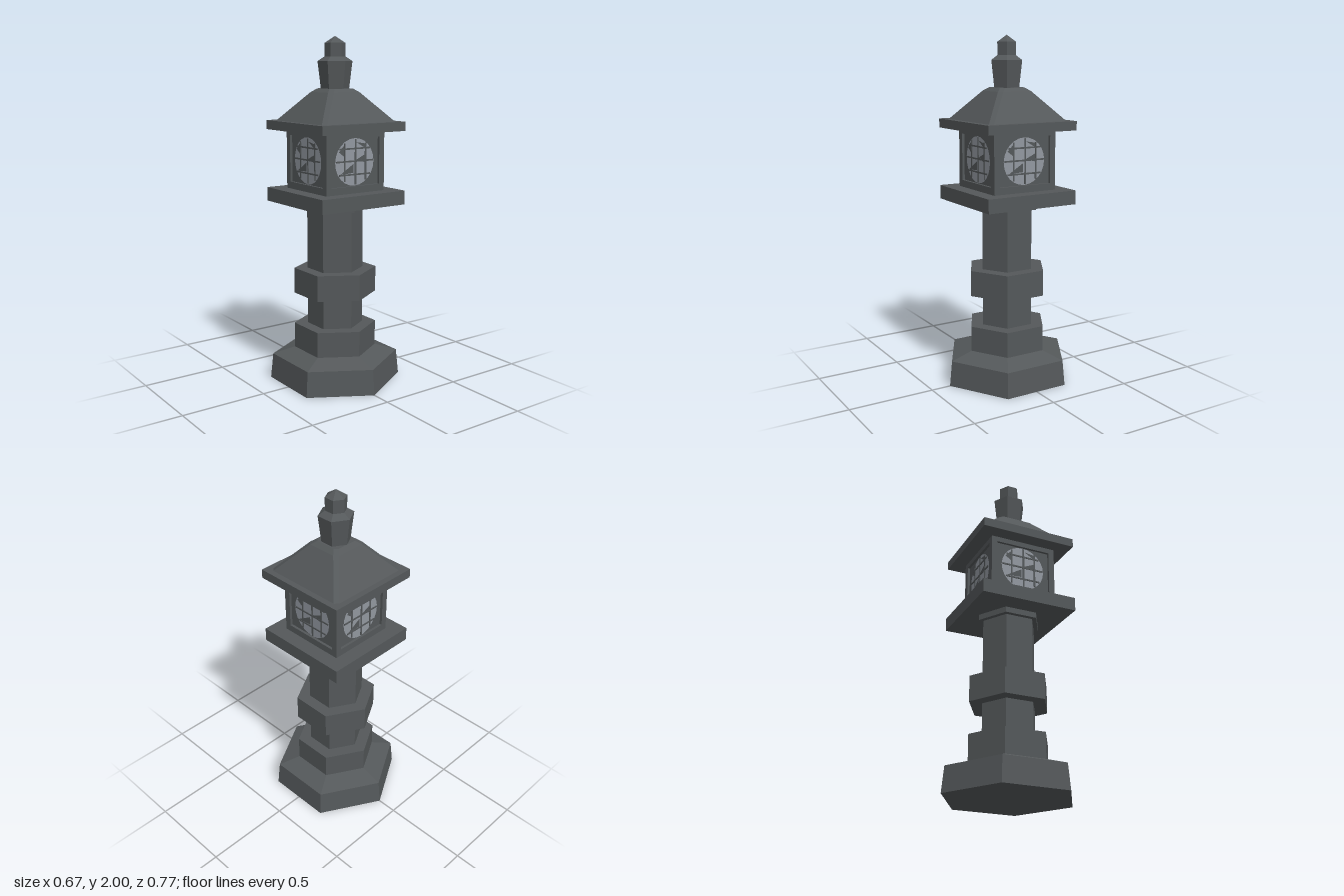
import * as THREE from 'three';

const stone = new THREE.MeshStandardMaterial({ color: 0x54585a, flatShading: true });
stone.name = 'dark stone';
const pane = new THREE.MeshStandardMaterial({ color: 0x9298a0 });
pane.name = 'pale window pane';

function add(parent, name, geometry, material, x = 0, y = 0, z = 0) {
  const mesh = new THREE.Mesh(geometry, material);
  mesh.name = name;
  mesh.position.set(x, y, z);
  parent.add(mesh);
  return mesh;
}

// Six-sided tapered block with corners facing front and back
function hexBlock(parent, name, y0, y1, r0, r1) {
  add(parent, name, new THREE.CylinderGeometry(r1, r0, y1 - y0, 6), stone, 0, (y0 + y1) / 2, 0);
}

function slab(parent, name, y0, y1, width) {
  add(parent, name, new THREE.BoxGeometry(width, y1 - y0, width), stone, 0, (y0 + y1) / 2, 0);
}

// Square loft with cut corners; each section is [y, half width, corner cut]
function cutSquareLoft(sections) {
  const pos = [], index = [];
  for (const [y, h, c] of sections) {
    const k = h - c;
    for (const [x, z] of [[-k, h], [k, h], [h, k], [h, -k], [k, -h], [-k, -h], [-h, -k], [-h, k]]) pos.push(x, y, z);
  }
  for (let i = 0; i < sections.length - 1; i++) {
    for (let j = 0; j < 8; j++) {
      const a = i * 8 + j, b = i * 8 + (j + 1) % 8;
      index.push(a, b, b + 8, a, b + 8, a + 8);
    }
  }
  const top = (sections.length - 1) * 8;
  for (let j = 1; j < 7; j++) index.push(top, top + j, top + j + 1);
  const g = new THREE.BufferGeometry();
  g.setAttribute('position', new THREE.Float32BufferAttribute(pos, 3));
  g.setIndex(index);
  g.computeVertexNormals();
  return g;
}

function polygon(points) {
  return new THREE.Shape(points.map(([x, y]) => new THREE.Vector2(x, y)));
}

// One wall of the lamp house: raised frame, round pane and broken lattice
function makeWindow() {
  const g = new THREE.Group();
  const frame = polygon([[-0.2, -0.175], [0.2, -0.175], [0.2, 0.165], [-0.2, 0.165]]);
  frame.holes.push(polygon([[-0.165, -0.135], [-0.165, 0.135], [0.165, 0.135], [0.165, -0.135]]));
  add(g, 'windowFrame', new THREE.ExtrudeGeometry(frame, { depth: 0.015, bevelEnabled: false }), stone, 0, 0, 0.185);
  add(g, 'windowPane', new THREE.CircleGeometry(0.133, 24), pane, 0, 0, 0.188);

  const r = 0.128;
  for (const p of [-0.07, 0.005, 0.075]) {
    const length = 2 * Math.sqrt(r * r - p * p);
    add(g, 'latticeUpright', new THREE.BoxGeometry(0.009, length, 0.004), stone, p, 0, 0.19);
    add(g, 'latticeCrossbar', new THREE.BoxGeometry(length, 0.009, 0.004), stone, 0, p, 0.19);
  }
  // Solid pieces of the lattice
  const shards = [
    [[-0.1, -0.065], [-0.01, -0.01], [-0.01, -0.06]],
    [[0.005, 0.01], [0.07, 0.04], [0.07, -0.005]],
    [[-0.11, 0.06], [-0.07, 0.1], [-0.07, 0.03]],
    [[0.01, 0.11], [0.07, 0.1], [0.07, 0.075]]
  ];
  for (const s of shards) add(g, 'latticeShard', new THREE.ShapeGeometry(polygon(s.reverse()).clone()), stone, 0, 0, 0.191);
  return g;
}

export function createModel() {
  const model = new THREE.Group();
  model.name = 'stoneLantern';

  // Pedestal and column
  hexBlock(model, 'base', 0, 0.147, 0.385, 0.37);
  hexBlock(model, 'baseSlope', 0.147, 0.187, 0.37, 0.24);
  hexBlock(model, 'plinth', 0.187, 0.335, 0.24, 0.24);
  hexBlock(model, 'column', 0.335, 1.03, 0.162, 0.162);
  hexBlock(model, 'columnRing', 0.52, 0.67, 0.24, 0.24);
  hexBlock(model, 'collar', 1.022, 1.055, 0.19, 0.19);

  // Lamp house
  slab(model, 'platform', 1.055, 1.135, 0.57);
  slab(model, 'lampHouse', 1.135, 1.475, 0.37);
  for (let i = 0; i < 4; i++) {
    const w = makeWindow();
    w.name = 'lampWall';
    w.position.y = 1.31;
    w.rotation.y = i * Math.PI / 2;
    model.add(w);
  }

  // Roof
  slab(model, 'eaves', 1.475, 1.527, 0.57);
  add(model, 'roof', cutSquareLoft([[1.525, 0.252, 0.02], [1.69, 0.108, 0.022], [1.71, 0.08, 0.02]]), stone);

  // Finial
  hexBlock(model, 'finialCup', 1.705, 1.862, 0.08, 0.099);
  hexBlock(model, 'finialShoulder', 1.862, 1.888, 0.099, 0.06);
  hexBlock(model, 'finialBud', 1.888, 1.962, 0.06, 0.06);
  hexBlock(model, 'finialTip', 1.962, 2, 0.06, 0.001);
  return model;
}
